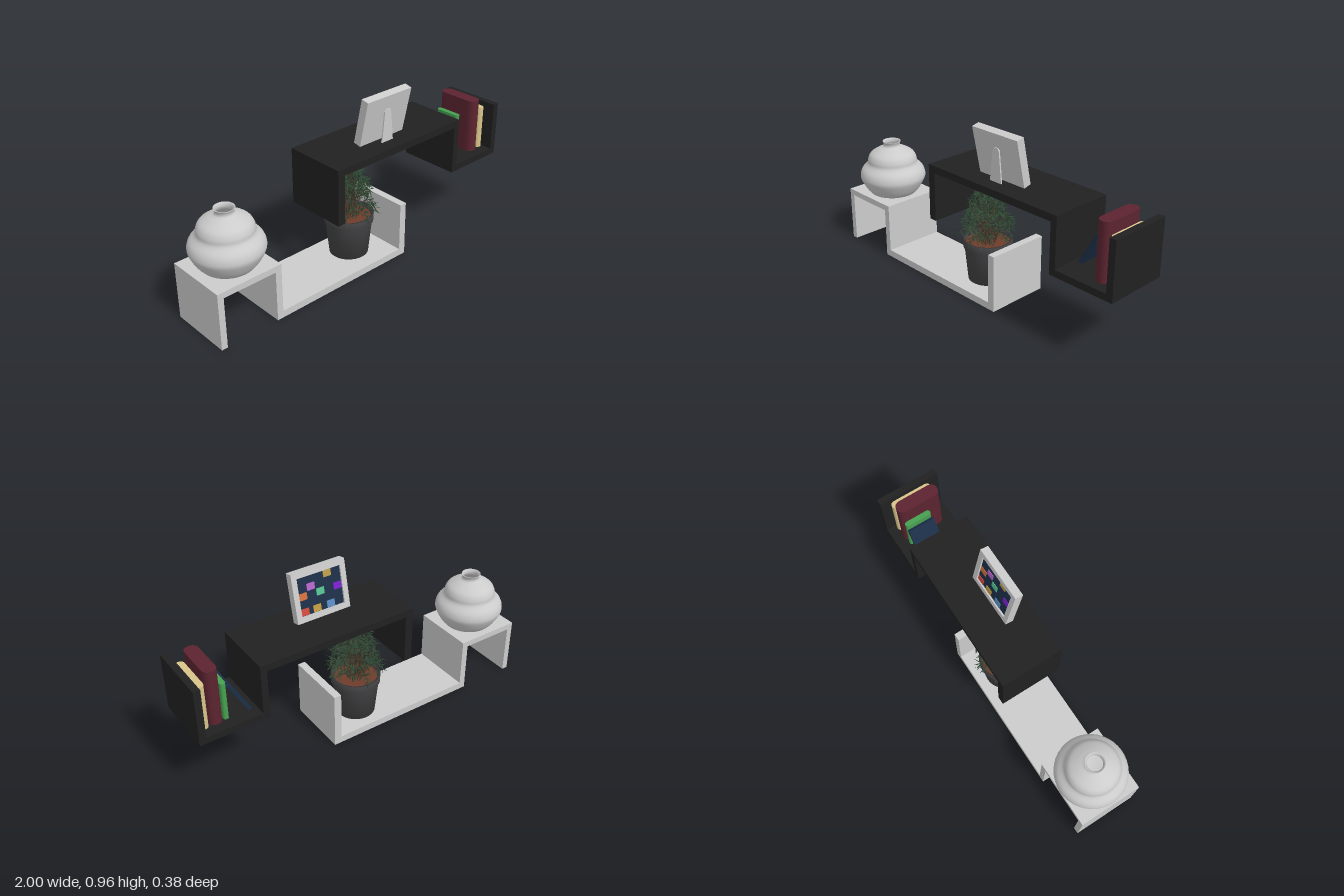
import * as THREE from 'three';
import { mergeGeometries } from 'three/addons/utils/BufferGeometryUtils.js';

const V = (x, y, z) => new THREE.Vector3(x, y, z);
const mat = (color = 0xcccccc, side = THREE.FrontSide) => new THREE.MeshStandardMaterial({ color, side });

function add(parent, name, geometry, material, x = 0, y = 0, z = 0) {
  const mesh = new THREE.Mesh(geometry, material);
  mesh.name = name;
  mesh.position.set(x, y, z);
  parent.add(mesh);
  return mesh;
}

// Board folded into a zigzag: side outline extruded through the depth
function shelf(parent, name, points, color) {
  const shape = new THREE.Shape(points.map(([x, y]) => new THREE.Vector2(x, y)));
  const geo = new THREE.ExtrudeGeometry(shape, { depth: 0.358, bevelEnabled: false });
  add(parent, name, geo, mat(color), 0, 0, -0.164);
}

// Upright book with rounded spine and fore edge
function book(parent, name, x, width, height, z0, z1, color) {
  const w = width / 2, r = width * 0.6, s = new THREE.Shape();
  s.moveTo(-w, -z1 + r);
  s.quadraticCurveTo(-w, -z1, 0, -z1);
  s.quadraticCurveTo(w, -z1, w, -z1 + r);
  s.lineTo(w, -z0 - r);
  s.quadraticCurveTo(w, -z0, 0, -z0);
  s.quadraticCurveTo(-w, -z0, -w, -z0 - r);
  s.closePath();
  const geo = new THREE.ExtrudeGeometry(s, { depth: height, bevelEnabled: false, curveSegments: 8 });
  geo.rotateX(-Math.PI / 2);
  return add(parent, name, geo, mat(color), x, 0.41, 0);
}

function buildPlant() {
  const plant = new THREE.Group();
  plant.name = 'pottedPlant';

  // Hollow tapered pot with a rim
  const profile = [[0, 0.04], [0.108, 0.04], [0.128, 0.235], [0.135, 0.237], [0.137, 0.28], [0.124, 0.28], [0.12, 0.24]];
  const potGeo = new THREE.LatheGeometry(profile.map(([r, y]) => new THREE.Vector2(r, y)), 32);
  add(plant, 'pot', potGeo, mat(0x444446, THREE.DoubleSide));
  add(plant, 'soil', new THREE.CircleGeometry(0.123, 32).rotateX(-Math.PI / 2), mat(0x6e3b2a), 0, 0.258, 0);

  let seed = 7;
  const rnd = () => (seed = (seed * 16807) % 2147483647) / 2147483647;
  const stems = [], positions = [];
  // One narrow diamond leaf from p along dir
  const leaf = (p, dir, len, wide) => {
    const side = V(rnd() - 0.5, rnd() - 0.5, rnd() - 0.5).cross(dir).normalize().multiplyScalar(wide);
    const mid = p.clone().addScaledVector(dir, len * 0.45);
    const tip = p.clone().addScaledVector(dir, len);
    const a = mid.clone().add(side), b = mid.clone().sub(side);
    for (const v of [p, a, tip, p, tip, b]) positions.push(v.x, v.y, v.z);
  };

  // Arching stems fan out from the centre, the outer ones drooping
  const count = 60;
  for (let i = 0; i < count; i++) {
    const angle = i * 2.39996;
    const spread = Math.sqrt((i + 0.5) / count);
    const reach = 0.02 + 0.135 * spread * (0.85 + 0.25 * rnd());
    const top = 0.595 - 0.22 * spread * spread - 0.07 * rnd();
    const at = (r, y) => V(Math.cos(angle) * r, y, Math.sin(angle) * r);
    const curve = new THREE.CatmullRomCurve3([
      at(0.05 * spread, 0.255),
      at(reach * 0.45, 0.255 + (top - 0.255) * 0.62),
      at(reach * 0.8, top),
      at(reach, top - 0.04 * spread + 0.015 * (1 - spread)),
    ]);
    stems.push(new THREE.TubeGeometry(curve, 8, 0.0018, 4, false));
    for (let j = 0; j < 24; j++) {
      const t = 0.38 + (0.62 * j) / 23;
      const dir = curve.getTangent(t).multiplyScalar(0.6);
      dir.add(V(rnd() - 0.5, rnd() - 0.6, rnd() - 0.5).multiplyScalar(1.7)).normalize();
      leaf(curve.getPoint(t), dir, 0.025 + 0.022 * rnd(), 0.0032);
    }
  }
  const leaves = new THREE.BufferGeometry();
  leaves.setAttribute('position', new THREE.Float32BufferAttribute(positions, 3));
  leaves.computeVertexNormals();
  add(plant, 'stems', mergeGeometries(stems), mat(0x4a3a2a));
  add(plant, 'leaves', leaves, mat(0x2f4a35, THREE.DoubleSide));
  return plant;
}

function buildPictureFrame() {
  const frame = new THREE.Group();
  frame.name = 'pictureFrame';

  // Leaning panel: border with a recessed picture facing the back
  const panel = new THREE.Group();
  panel.name = 'leaningPanel';
  const W = 0.315, H = 0.266, T = 0.046, B = 0.03;
  const outline = new THREE.Shape([[-W / 2, -H / 2], [W / 2, -H / 2], [W / 2, H / 2], [-W / 2, H / 2]]
    .map(([x, y]) => new THREE.Vector2(x, y)));
  const w = W - 2 * B, h = H - 2 * B;
  outline.holes.push(new THREE.Path([[-w / 2, -h / 2], [-w / 2, h / 2], [w / 2, h / 2], [w / 2, -h / 2]]
    .map(([x, y]) => new THREE.Vector2(x, y))));
  add(panel, 'border', new THREE.ExtrudeGeometry(outline, { depth: T, bevelEnabled: false }), mat(), 0, 0, -T / 2);
  add(panel, 'backing', new THREE.BoxGeometry(w, h, 0.03), mat(), 0, 0, T / 2 - 0.015);
  add(panel, 'picture', new THREE.BoxGeometry(w, h, 0.006), mat(0x1c2f48), 0, 0, -0.01);

  // Coloured tiles on a five by five grid
  const tiles = [[1, 1, 0xb565c8], [3, 0, 0xb89a4a], [0, 2, 0xd0703c], [2, 2, 0x55c090], [4, 2, 0x7a1fd0],
    [1.4, 4, 0xc09a40], [0, 4, 0xd04a3c], [3, 4, 0x5a8cc0]];
  for (const [col, row, color] of tiles) {
    add(panel, 'pictureTile', new THREE.BoxGeometry(w * 0.18, h * 0.18, 0.004), mat(color),
      w * (0.4 - col * 0.2), h * (0.4 - row * 0.2), -0.014);
  }
  panel.rotation.x = 0.213;
  panel.position.set(0.173, 0.825, 0.075);
  frame.add(panel);

  // Tapered prop leg
  const leg = new THREE.Shape([[-0.04, 0], [0.04, 0], [0.022, 0.17], [0.012, 0.183], [-0.012, 0.183], [-0.022, 0.17]]
    .map(([x, y]) => new THREE.Vector2(x, y)));
  add(frame, 'propLeg', new THREE.ExtrudeGeometry(leg, { depth: 0.008, bevelEnabled: false }), mat(), 0.173, 0.69, 0.106);
  return frame;
}

export function createModel() {
  const model = new THREE.Group();
  model.name = 'shelfUnit';

  shelf(model, 'lowerShelf', [[-1, 0], [-0.966, 0], [-0.966, 0.286], [-0.661, 0.286], [-0.661, 0], [0.245, 0],
    [0.245, 0.32], [0.203, 0.32], [0.203, 0.04], [-0.625, 0.04], [-0.625, 0.32], [-1, 0.32]]);
  shelf(model, 'upperShelf', [[-0.25, 0.373], [-0.205, 0.373], [-0.205, 0.65], [0.62, 0.65], [0.62, 0.373], [1, 0.373],
    [1, 0.69], [0.963, 0.69], [0.963, 0.41], [0.656, 0.41], [0.656, 0.69], [-0.25, 0.69]], 0x212121);

  // Double-bellied vase, hollow at the neck
  const curve = new THREE.SplineCurve([[0.135, 0.32], [0.16, 0.35], [0.187, 0.4], [0.192, 0.43], [0.18, 0.465],
    [0.148, 0.5], [0.142, 0.53], [0.125, 0.56], [0.085, 0.585], [0.053, 0.6], [0.047, 0.615], [0.053, 0.632]]
    .map(([r, y]) => new THREE.Vector2(r, y)));
  const wall = [new THREE.Vector2(0, 0.32), ...curve.getPoints(44)];
  for (const [r, y] of [[0.046, 0.63], [0.041, 0.615], [0.045, 0.595], [0.12, 0.54], [0.17, 0.43], [0.12, 0.335], [0, 0.335]]) {
    wall.push(new THREE.Vector2(r, y));
  }
  add(model, 'vase', new THREE.LatheGeometry(wall, 40), mat(0xcccccc, THREE.DoubleSide), -0.806, 0, 0.013);

  model.add(buildPlant(), buildPictureFrame());

  // Books, the thin one leaning
  const books = new THREE.Group();
  books.name = 'books';
  book(books, 'tallBook', 0.875, 0.074, 0.312, -0.11, 0.14, 0x5c2430);
  book(books, 'wideBook', 0.939, 0.046, 0.25, -0.11, 0.132, 0xd8c48a);
  book(books, 'smallBook', 0.821, 0.03, 0.212, -0.1, 0.055, 0x46a050);
  const leaning = add(books, 'leaningBook', new THREE.BoxGeometry(0.02, 0.21, 0.157), mat(0x1c2f48), 0.743, 0.505, -0.022);
  leaning.rotation.z = -0.5;
  model.add(books);
  return model;
}
